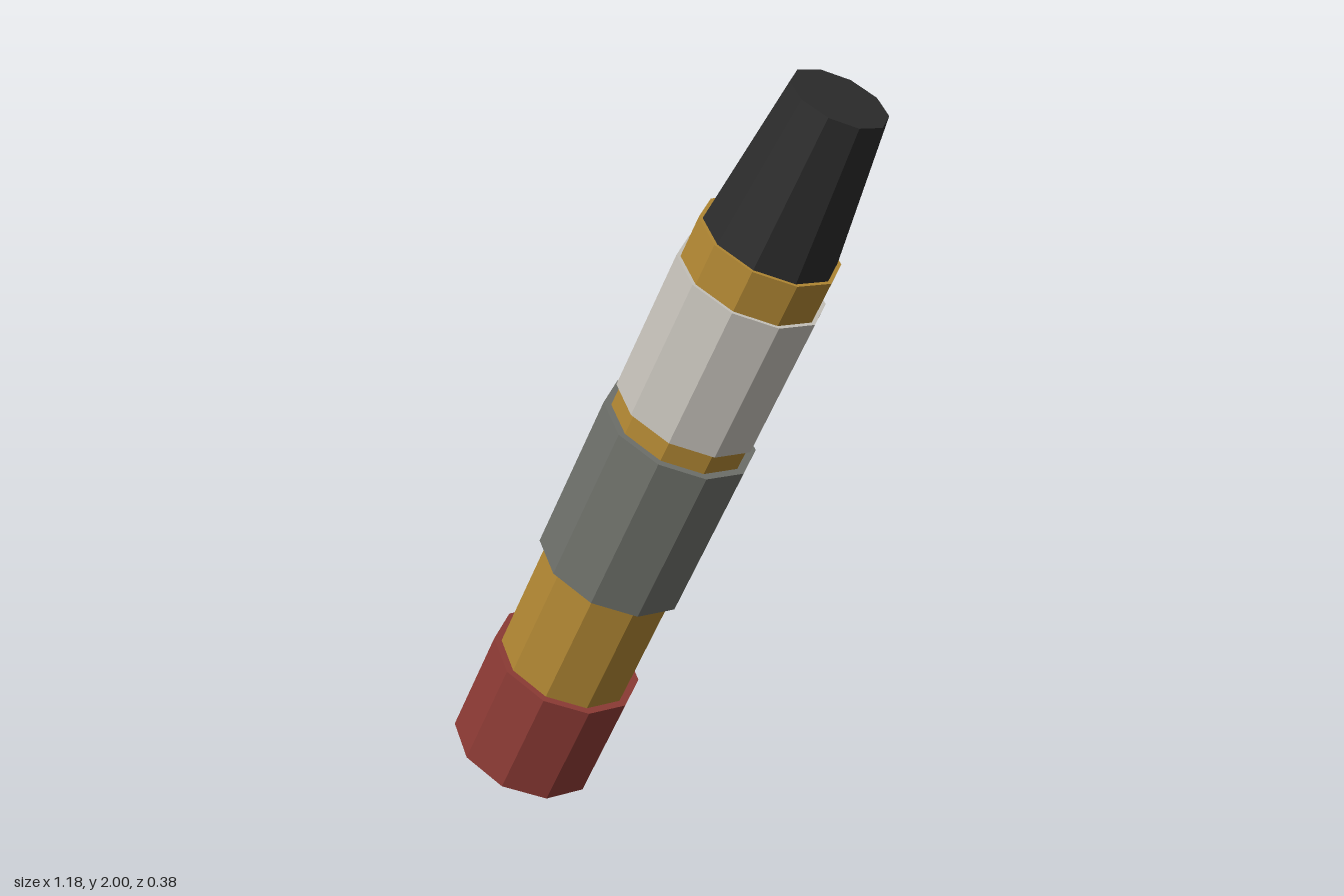
import * as THREE from 'three';

const SIDES = 10;

function material(name, color) {
  const m = new THREE.MeshStandardMaterial({ color, flatShading: true });
  m.name = name;
  return m;
}

export function createModel() {
  const red = material('dark red', 0x8f3c36);
  const gold = material('brass', 0xb48934);
  const grey = material('mid grey', 0x70726c);
  const pale = material('pale grey', 0xc9c5bd);
  const black = material('black', 0x2c2c2c);

  const model = new THREE.Group();
  model.name = 'crayonStick';

  // The stick leans towards +x; its own axis is y, starting at the base centre
  const stick = new THREE.Group();
  stick.name = 'stick';
  stick.position.set(-0.415, 0.0875, 0);
  stick.rotation.z = -THREE.MathUtils.degToRad(25.75);
  model.add(stick);

  // name, material, start, end, bottom radius, top radius
  const sections = [
    ['core', gold, 0.05, 1.665, 0.18, 0.18],
    ['endCap', red, 0, 0.313, 0.2, 0.2],
    ['gripBand', grey, 0.653, 1.103, 0.2, 0.2],
    ['upperBand', pale, 1.163, 1.552, 0.19, 0.19],
    ['taperedTip', black, 1.66, 2.06, 0.171, 0.122],
  ];
  for (const [name, mat, from, to, r0, r1] of sections) {
    // Turned so that a corner lies on the x axis
    const geo = new THREE.CylinderGeometry(r1, r0, to - from, SIDES, 1, false, Math.PI / 2);
    const mesh = new THREE.Mesh(geo, mat);
    mesh.name = name;
    mesh.position.y = (from + to) / 2;
    stick.add(mesh);
  }
  return model;
}
